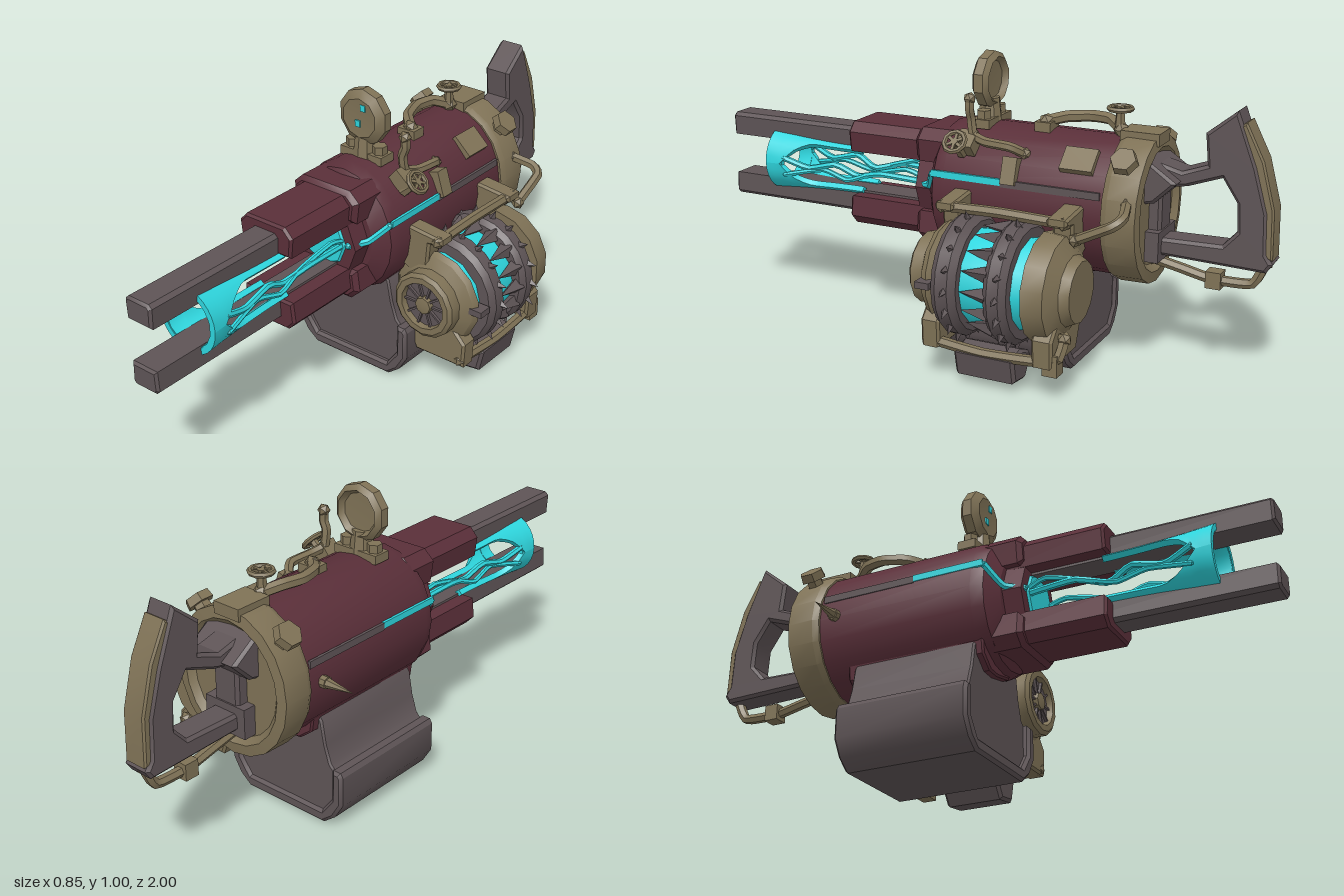
import * as THREE from 'three';
import { toCreasedNormals } from 'three/addons/utils/BufferGeometryUtils.js';

const mat = (name, color) => {
  const m = new THREE.MeshStandardMaterial({ color });
  m.name = name;
  return m;
};
const V = (p) => new THREE.Vector3(...p);

export function createModel() {
  const root = new THREE.Group();
  const maroon = mat('maroon paint', 0x5a2f39);
  const steel = mat('dark steel', 0x5e5456);
  const brass = mat('old brass', 0x7f7256);
  const glow = mat('cyan glow', 0x2ed6de);

  const add = (name, geo, material, pos = [0, 0, 0], rot = [0, 0, 0], parent = root) => {
    const mesh = new THREE.Mesh(toCreasedNormals(geo, 0.55), material);
    mesh.name = name;
    mesh.position.set(...pos);
    mesh.rotation.set(...rot);
    parent.add(mesh);
    return mesh;
  };
  const box = (w, h, d) => new THREE.BoxGeometry(w, h, d);
  // profile of [radius, z] turned about the z axis, from back to front
  const turned = (pts, seg = 16, sy = 1) =>
    new THREE.LatheGeometry(pts.map((p) => new THREE.Vector2(...p)), seg).rotateX(Math.PI / 2).scale(1, sy, 1);
  const shapeOf = (pts) => new THREE.Shape(pts.map((p) => new THREE.Vector2(...p)));
  // outline in x, y pushed from z0 to z1
  const slab = (pts, z0, z1, bevel = 0.008) =>
    new THREE.ExtrudeGeometry(shapeOf(pts), {
      depth: z1 - z0 - 2 * bevel, bevelSize: bevel, bevelThickness: bevel, bevelOffset: -bevel, bevelSegments: 1,
    }).translate(0, 0, z0 + bevel);
  // outline in z, y given width w about x = 0
  const sideSlab = (pts, w, hole, bevel = 0.01) => {
    const s = shapeOf(pts.map(([z, y]) => [-z, y]));
    if (hole) s.holes.push(new THREE.Path(hole.map(([z, y]) => new THREE.Vector2(-z, y))));
    return new THREE.ExtrudeGeometry(s, {
      depth: w - 2 * bevel, bevelSize: bevel, bevelThickness: bevel, bevelOffset: -bevel, bevelSegments: 1,
    }).translate(0, 0, -w / 2 + bevel).rotateY(Math.PI / 2);
  };
  // tube with a knuckle at each end
  const pipe = (name, pts, r, material = brass) => {
    const curve = new THREE.CatmullRomCurve3(pts.map(V), false, 'catmullrom', 0.25);
    add(name, new THREE.TubeGeometry(curve, pts.length * 4, r, 6), material);
    const knuckle = material === brass ? 1.35 : 1;
    for (const p of [pts[0], pts[pts.length - 1]]) add(name + 'End', new THREE.IcosahedronGeometry(r * knuckle, 0), material, p);
  };
  const CX = -0.1, CY = 0.535;

  // main barrel housing
  add('housing', turned([[0, -0.53], [0.208, -0.53], [0.21, 0.06], [0.198, 0.1], [0.145, 0.135], [0, 0.135]], 20, 1.1), maroon, [CX, CY, 0]);
  add('muzzleCollar', turned([[0, 0.1], [0.135, 0.1], [0.13, 0.2], [0, 0.2]], 8, 1.1), maroon, [CX, CY, 0]);
  add('core', turned([[0, 0.19], [0.1, 0.19], [0.085, 0.207], [0, 0.207]], 8), glow, [CX, 0.54, 0]);
  add('saddle', slab([[-0.25, 0.4], [-0.24, 0.33], [-0.19, 0.29], [-0.14, 0.288], [-0.06, 0.305], [0, 0.4]], -0.42, 0.075, 0.006), maroon);

  // rear ring and cap
  add('rearRing', turned([[0, -0.6], [0.17, -0.6], [0.19, -0.62], [0.224, -0.615], [0.226, -0.52], [0.216, -0.5], [0, -0.5]], 20, 1.08), brass, [CX, CY, 0]);
  for (const a of [45, 135]) {
    const t = THREE.MathUtils.degToRad(a), c = Math.cos(t), s = Math.sin(t);
    add('ringBoltStem', new THREE.CylinderGeometry(0.025, 0.032, 0.05, 6), brass, [CX + c * 0.23, CY + s * 0.245, -0.56], [0, 0, t - Math.PI / 2]);
    add('ringBolt', new THREE.CylinderGeometry(0.042, 0.046, 0.028, 6), brass, [CX + c * 0.258, CY + s * 0.275, -0.56], [0, 0, t - Math.PI / 2]);
  }
  add('ringClamp', box(0.1, 0.04, 0.13), brass, [CX, 0.77, -0.56]);

  // jaws and rails, upper and lower
  const jaw = [[-0.1, 0.08], [0.1, 0.08], [0.108, 0.15], [0.078, 0.182], [-0.078, 0.182], [-0.108, 0.15]];
  for (const s of [1, -1]) {
    const jawPts = jaw.map(([x, y]) => [x, y * s]);
    add('jaw', slab(jawPts, 0.08, 0.475), maroon, [CX, 0.54, 0]);
    add('jawRoot', slab(jawPts.map(([x, y]) => [x * 1.25, y * 1.08]), 0.06, 0.2, 0.015), maroon, [CX, 0.54, 0]);
    const rail = [[-0.05, 0.072], [0.05, 0.072], [0.053, 0.14], [0.04, 0.152], [-0.04, 0.152], [-0.053, 0.14]];
    add('rail', slab(rail.map(([x, y]) => [x, y * s]), 0.15, 1), steel, [CX, 0.54, 0]);
  }

  // curved glowing strip: joins its twin at the muzzle and tapers towards the jaws
  const glowStrip = (base, sign) => {
    const geo = new THREE.BoxGeometry(1, 1, 1, 5, 1, 14);
    const p = geo.attributes.position;
    for (let i = 0; i < p.count; i++) {
      const t = p.getZ(i) + 0.5, z = 0.45 + 0.37 * t;
      const inner = 48 * Math.sqrt(THREE.MathUtils.clamp((0.75 - z) / 0.1, 0, 1));
      const [lo, hi] = sign > 0 ? [inner, 62] : [-62, -inner];
      const a = THREE.MathUtils.degToRad(base + hi + (lo - hi) * (p.getX(i) + 0.5));
      const r = 0.098 + 0.018 * t * t + (p.getY(i) - 0.5) * 0.02;
      p.setXYZ(i, r * Math.cos(a), r * Math.sin(a), z);
    }
    return geo;
  };
  for (const [base, sign] of [[0, 1], [0, -1], [180, 1], [180, -1]]) add('glowStrip', glowStrip(base, sign), glow, [CX, 0.54, 0]);
  add('glowRing', turned([[0.09, 0.76], [0.108, 0.76], [0.114, 0.818], [0.094, 0.818], [0.09, 0.76]], 14), glow, [CX, 0.54, 0]);

  for (const s of [1, -1]) {
    // jagged sparks between muzzle and core
    pipe('spark', [[CX + s * 0.1, 0.56, 0.75], [CX + s * 0.08, 0.53, 0.66], [CX + s * 0.075, 0.555, 0.55], [CX + s * 0.06, 0.52, 0.47], [CX + s * 0.08, 0.545, 0.36], [CX + s * 0.07, 0.535, 0.16]], 0.011, glow);
    pipe('sparkFork', [[CX + s * 0.1, 0.5, 0.75], [CX + s * 0.075, 0.53, 0.6], [CX + s * 0.08, 0.505, 0.5], [CX + s * 0.07, 0.54, 0.4], [CX + s * 0.08, 0.575, 0.26], [CX + s * 0.07, 0.54, 0.17]], 0.009, glow);
    // glowing slot running out from the muzzle and back along the side
    pipe('frontSlot', [[CX + s * 0.1, 0.545, 0.2], [CX + s * 0.137, 0.55, 0.142], [CX + s * 0.192, 0.608, 0.102]], 0.012, glow);
    add('sideGlow', box(0.009, 0.022, 0.25), glow, [CX + s * 0.199, 0.613, -0.025]);
    add('sideSlot', box(0.009, 0.024, 0.34), steel, [CX + s * 0.199, 0.61, -0.32]);
  }
  add('sideSpike', new THREE.ConeGeometry(0.018, 0.11, 6), brass, [-0.372, 0.54, -0.44], [0, 0, Math.PI / 2]);
  add('spikeCollar', new THREE.CylinderGeometry(0.02, 0.02, 0.03, 8), brass, [-0.312, 0.54, -0.44], [0, 0, Math.PI / 2]);

  // cradle stand: pedestal with a raised outer rim
  const mirrored = (half) => [...half, ...half.map(([x, y]) => [-x, y]).reverse()];
  add('pedestal', slab(mirrored([[0.15, 0.03], [0.2, 0.09], [0.2, 0.205], [0.185, 0.22], [0.165, 0.28], [0.15, 0.36], [0.1, 0.42]]), -0.39, 0.05, 0.006), steel, [CX - 0.005, 0, 0]);
  add('standRim', slab(mirrored([[0.16, 0], [0.205, 0.035], [0.238, 0.09], [0.238, 0.19], [0.228, 0.205], [0.198, 0.205], [0.196, 0.1], [0.155, 0.045]]), -0.4, 0.07, 0.01), steel, [CX - 0.005, 0, 0]);

  // rear grip loop with a brass back strap
  add('handle', sideSlab(
    [[-0.58, 0.4], [-0.98, 0.39], [-1, 0.42], [-0.98, 0.45], [-0.975, 0.58], [-0.935, 0.72], [-0.868, 0.89], [-0.77, 0.81], [-0.78, 0.71], [-0.7, 0.68], [-0.58, 0.71]],
    0.1, [[-0.64, 0.455], [-0.84, 0.46], [-0.885, 0.51], [-0.88, 0.6], [-0.83, 0.675], [-0.72, 0.635], [-0.64, 0.62]]), steel, [CX, 0, 0]);
  add('gripStrap', sideSlab([[-0.95, 0.44], [-0.998, 0.43], [-0.994, 0.59], [-0.954, 0.74], [-0.895, 0.855], [-0.87, 0.84], [-0.91, 0.72], [-0.95, 0.58]], 0.085, null, 0.006), brass, [CX, 0, 0]);
  add('handleMount', sideSlab([[-0.58, 0.57], [-0.63, 0.58], [-0.7, 0.65], [-0.58, 0.73]], 0.2), steel, [CX, 0, 0]);
  add('lowerMount', box(0.16, 0.1, 0.06), steel, [CX, 0.43, -0.615]);
  pipe('lowerPipe', [[CX, 0.37, -0.6], [CX, 0.35, -0.7], [CX, 0.33, -0.8], [CX, 0.335, -0.93], [CX, 0.41, -0.97]], 0.017);
  add('pipeJoint', box(0.05, 0.055, 0.05), brass, [CX, 0.332, -0.81]);

  // pressure gauge
  add('gauge', turned([[0, -0.012], [0.065, -0.015], [0.078, -0.035], [0.096, -0.02], [0.096, 0.012], [0.068, 0.03], [0, 0.024]], 10), brass, [CX, 0.9, -0.012]);
  add('gaugeStem', new THREE.CylinderGeometry(0.033, 0.045, 0.1, 8), brass, [CX, 0.79, -0.015]);
  add('gaugeFoot', box(0.17, 0.03, 0.065), brass, [CX, 0.765, -0.02]);
  for (const s of [1, -1]) add('footBolt', new THREE.CylinderGeometry(0.025, 0.025, 0.035, 6), brass, [CX + s * 0.055, 0.79, -0.02]);
  for (const [x, y] of [[-0.107, 0.88], [-0.085, 0.938]]) add('gaugeLight', box(0.02, 0.022, 0.006), glow, [x, y, 0.016]);

  // top pipes, valve wheels and patches
  const valve = (pos, rot) => {
    const g = new THREE.Group();
    g.name = 'valve';
    g.position.set(...pos);
    g.rotation.set(...rot);
    root.add(g);
    add('valveRim', new THREE.TorusGeometry(0.036, 0.009, 6, 10).rotateX(Math.PI / 2), brass, [0, 0, 0], [0, 0, 0], g);
    for (let i = 0; i < 3; i++) add('valveSpoke', box(0.07, 0.008, 0.01), brass, [0, 0, 0], [0, i * Math.PI / 3, 0], g);
    add('valveStem', new THREE.CylinderGeometry(0.012, 0.02, 0.08, 6), brass, [0, -0.035, 0], [0, 0, 0], g);
  };
  valve([CX, 0.848, -0.475], [0, 0, 0]);
  valve([0.125, 0.735, 0.0], [0, 0, -0.85]);
  pipe('topPipe', [[CX, 0.78, -0.48], [CX - 0.04, 0.8, -0.43], [-0.155, 0.8, -0.36], [-0.13, 0.795, -0.28], [-0.08, 0.785, -0.23]], 0.02);
  add('topPipeFoot', box(0.07, 0.045, 0.055), brass, [-0.08, 0.765, -0.23]);
  pipe('sidePipe', [[0.04, 0.7, -0.21], [0.07, 0.725, -0.17], [0.065, 0.73, -0.08], [0.05, 0.745, -0.03], [0.048, 0.8, -0.02], [0.06, 0.83, -0.02], [0.058, 0.865, -0.02]], 0.016);
  add('sidePipeFoot', box(0.07, 0.05, 0.06), brass, [0.06, 0.72, -0.015], [0, 0, -0.7]);
  add('patch', box(0.085, 0.03, 0.11), brass, [0.045, 0.7, -0.4], [0, 0, -0.75]);
  add('sideBracket', box(0.04, 0.09, 0.05), brass, [0.085, 0.65, -0.18], [0, 0, 0.3]);
  pipe('rearPipe', [[0.1, 0.6, -0.58], [0.18, 0.58, -0.6], [0.215, 0.56, -0.58], [0.215, 0.5, -0.46]], 0.017);

  // side generator, turning about z
  const gen = new THREE.Group();
  gen.name = 'generator';
  gen.position.set(0.2, 0.33, 0);
  root.add(gen);
  const part = (name, geo, m, pos, rot) => add(name, geo, m, pos, rot, gen);
  part('glowDrum', turned([[0, -0.37], [0.14, -0.37], [0.155, -0.28], [0.16, -0.17], [0.155, -0.08], [0.145, -0.02], [0, -0.02]], 12), glow);
  part('frontCap', turned([[0, -0.035], [0.15, -0.035], [0.166, -0.02], [0.155, 0.0], [0.118, 0.02], [0.118, 0.06], [0.105, 0.07], [0.084, 0.07], [0.08, 0.045], [0, 0.045]], 14), brass);
  part('rearCap', turned([[0, -0.48], [0.1, -0.48], [0.115, -0.45], [0.17, -0.42], [0.178, -0.35], [0, -0.35]], 14), brass);
  part('capStrap', box(0.07, 0.022, 0.05), steel, [0.155, 0.005, -0.02]);
  part('hubFace', turned([[0, 0.04], [0.082, 0.04], [0.082, 0.049], [0, 0.049]], 12), steel);
  part('hub', turned([[0, 0.04], [0.034, 0.04], [0.03, 0.066], [0, 0.072]], 8), brass);
  for (let i = 0; i < 10; i++) {
    const a = (i / 10) * Math.PI * 2;
    part('hubSpoke', box(0.055, 0.007, 0.012), steel, [Math.cos(a) * 0.055, Math.sin(a) * 0.055, 0.052], [0, 0, a]);
  }
  for (const [z, w] of [[-0.092, 0.042], [-0.268, 0.038]]) {
    part('rotorDisc', turned([[0.12, z - w], [0.18, z - w], [0.2, z - w / 2], [0.2, z + w / 2], [0.185, z + w], [0.12, z + w]], 20), steel);
    for (let i = 0; i < 18; i++) {
      const a = (i / 18) * Math.PI * 2;
      part('rotorTooth', new THREE.ConeGeometry(0.02, 0.05, 4), steel,
        [Math.cos(a) * 0.203, Math.sin(a) * 0.203, z - 0.01], [0, 0, a - Math.PI / 2 - 0.25]);
    }
  }
  // blades reaching forward from the rear rotor
  for (let i = 0; i < 16; i++) {
    const a = (i / 16) * Math.PI * 2;
    part('rotorBlade', new THREE.ConeGeometry(0.03, 0.1, 4).rotateX(Math.PI / 2), steel, [Math.cos(a) * 0.168, Math.sin(a) * 0.168, -0.19], [0, 0, a]);
  }

  // frame holding the generator to the housing
  for (const [z0, z1] of [[-0.05, 0.015], [-0.44, -0.37]]) {
    add('upperBracket', slab([[0.05, 0.44], [0.14, 0.39], [0.178, 0.45], [0.185, 0.53], [0.235, 0.54], [0.235, 0.562], [0.11, 0.575], [0.06, 0.57]], z0, z1), brass);
    add('lowerBracket', slab([[0.06, 0.37], [0.07, 0.28], [0.135, 0.11], [0.33, 0.11], [0.335, 0.2], [0.28, 0.26], [0.13, 0.3]], z0, z1), brass);
  }
  pipe('upperBar', [[0.21, 0.545, 0], [0.21, 0.55, -0.2], [0.21, 0.545, -0.42]], 0.018);
  pipe('lowerBar', [[0.31, 0.13, 0], [0.315, 0.115, -0.2], [0.31, 0.13, -0.44], [0.28, 0.2, -0.46]], 0.018);
  add('barJoint', box(0.05, 0.07, 0.05), brass, [0.3, 0.12, -0.43]);
  add('generatorFoot', slab([[0.19, 0.085], [0.235, 0.02], [0.315, 0.03], [0.333, 0.11], [0.26, 0.13], [0.2, 0.105]], -0.31, -0.1, 0.01), steel);
  return root;
}
